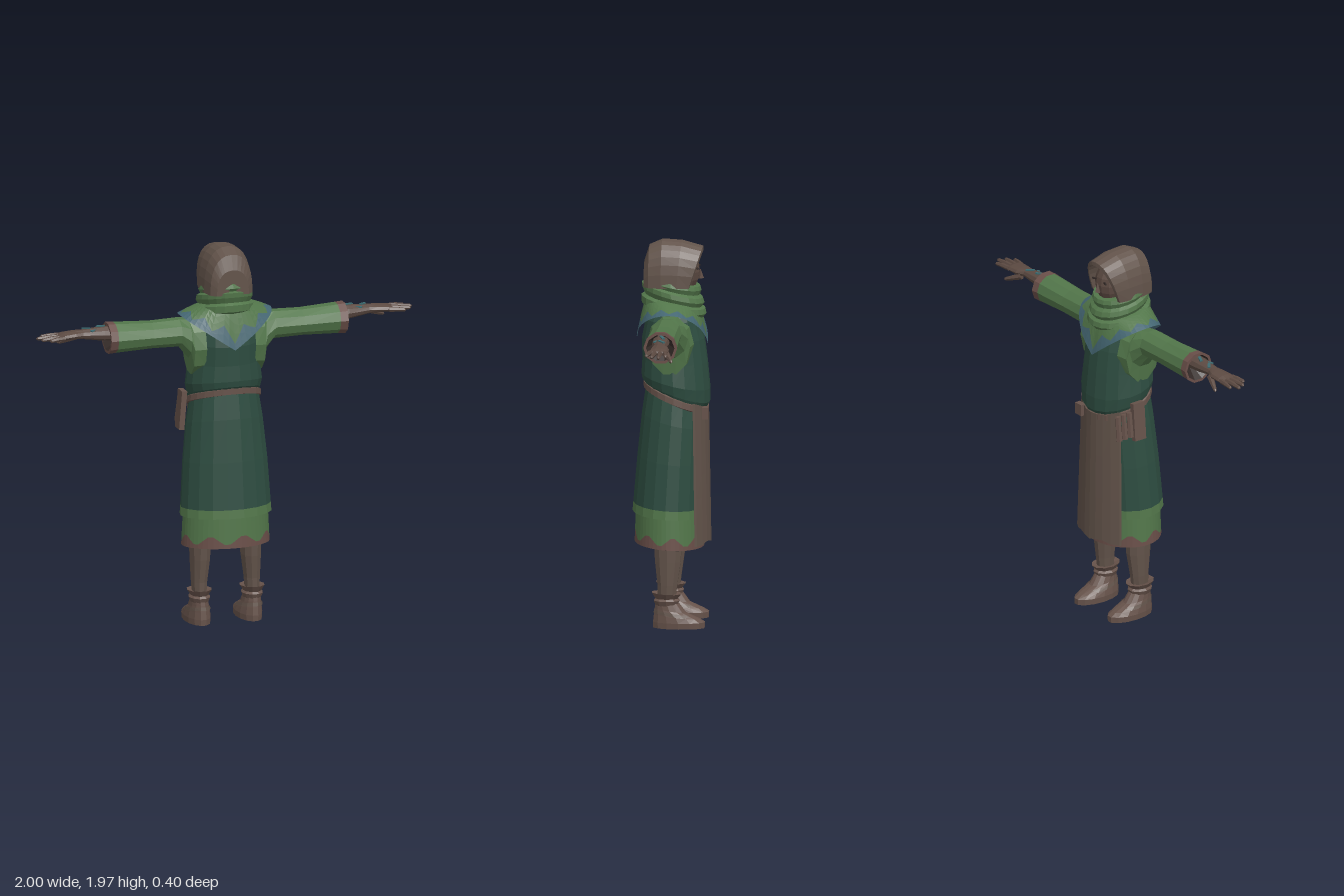
import * as THREE from 'three';

const mat = (name, color) => {
  const m = new THREE.MeshStandardMaterial({ color, side: THREE.DoubleSide });
  m.name = name;
  return m;
};

export function createModel() {
  const darkGreen = mat('dark green cloth', 0x2d4c40);
  const green = mat('green cloth', 0x52764a);
  const blue = mat('blue edging', 0x446672);
  const brown = mat('brown cloth', 0x62534a);
  const leather = mat('leather', 0x66524a);
  const trim = mat('red brown trim', 0x6a4f49);
  const skin = mat('skin', 0x5c4a42);
  const teal = mat('teal paint', 0x3c6a70);
  const dark = mat('dark line', 0x332a27);

  const model = new THREE.Group();
  const add = (name, geo, material, parent = model) => {
    const g = geo.index ? geo.toNonIndexed() : geo;
    g.computeVertexNormals(); // faceted
    const m = new THREE.Mesh(g, material);
    m.name = name;
    parent.add(m);
    return m;
  };

  // Grid surface from f(u, v) -> [x, y, z]
  const surface = (nu, nv, f, flip = false) => {
    const pos = [], idx = [];
    for (let j = 0; j <= nv; j++)
      for (let i = 0; i <= nu; i++) pos.push(...f(i / nu, j / nv));
    for (let j = 0; j < nv; j++)
      for (let i = 0; i < nu; i++) {
        const a = j * (nu + 1) + i, b = a + 1, c = a + nu + 1, d = c + 1;
        if (flip) idx.push(a, b, c, b, d, c);
        else idx.push(a, c, b, b, c, d);
      }
    const g = new THREE.BufferGeometry();
    g.setAttribute('position', new THREE.Float32BufferAttribute(pos, 3));
    g.setIndex(idx);
    return g;
  };

  // Elliptical rings stacked upwards: [y, rx, rz, cz, tilt, cx]
  const stack = (s, sides = 18) => surface(sides, s.length - 1, (u, v) => {
    const [y, rx, rz, cz = 0, tilt = 0, cx = 0] = s[Math.round(v * (s.length - 1))];
    const a = u * Math.PI * 2;
    return [cx + rx * Math.cos(a), y + tilt * Math.sin(a), cz + rz * Math.sin(a)];
  });
  // Elliptical rings along x: [x, ry, rz, cy, cz]
  const limb = (s, sides = 10) => surface(sides, s.length - 1, (u, v) => {
    const [x, ry, rz, cy = 0, cz = 0] = s[Math.round(v * (s.length - 1))];
    const a = u * Math.PI * 2 + Math.PI / sides;
    return [x, cy + ry * Math.cos(a), cz + rz * Math.sin(a)];
  }, true);
  // One surface split along a border into two colours
  const split = (name, f, border, nu, nv, upper, lower) => {
    add(name, surface(nu, nv, (u, v) => f(u, v * border(u)), true), upper);
    add(name + 'Edge', surface(nu, 2, (u, v) => f(u, border(u) + v * (1 - border(u))), true), lower);
  };

  // Robe: underskirt with wavy trim, overskirt, torso
  split('underskirt', (u, t) => {
    const a = u * Math.PI * 2, r = 0.95 + 0.05 * t;
    return [0.228 * r * Math.cos(a), 0.64 - 0.228 * t + 0.012 * Math.sin(a), 0.015 + 0.176 * r * Math.sin(a)];
  }, u => 0.82 + 0.1 * Math.sin(u * Math.PI * 16), 48, 2, green, trim);
  add('underskirtLining', stack([[0.41, 0.222, 0.17, 0.015, 0.012], [0.5, 0.05, 0.05, 0.015]]), dark);
  add('skirtHem', stack([[0.58, 0.222, 0.168, 0.018, 0.012], [0.57, 0.238, 0.184, 0.018, 0.012],
    [0.615, 0.235, 0.181, 0.017, 0.012]]), green);
  add('skirt', stack([[0.615, 0.235, 0.181, 0.017, 0.012], [0.85, 0.22, 0.172, 0.005, 0.02],
    [1.05, 0.2, 0.162, -0.008, 0.04], [1.19, 0.178, 0.145, -0.015, 0.06]]), darkGreen);
  add('torso', stack([[1.16, 0.17, 0.145, -0.02, 0.065], [1.2, 0.188, 0.172, -0.02, 0.06],
    [1.25, 0.198, 0.175, -0.018, 0.04], [1.36, 0.185, 0.166, -0.014, 0.01], [1.47, 0.18, 0.16, -0.005],
    [1.57, 0.17, 0.135], [1.65, 0.1, 0.1]]), darkGreen);

  // Belt, knot and apron
  add('belt', stack([[1.15, 0.18, 0.15, -0.02, 0.065], [1.155, 0.194, 0.166, -0.02, 0.065],
    [1.185, 0.192, 0.166, -0.02, 0.065], [1.192, 0.175, 0.15, -0.02, 0.065]], 24), leather);
  const knot = add('beltKnot', new THREE.BoxGeometry(0.05, 0.06, 0.03), leather);
  knot.position.set(0.1, 1.1, -0.175);
  const apron = new THREE.BoxGeometry(2, 1, 0.012, 8, 6, 1);
  const ap = apron.attributes.position;
  for (let i = 0; i < ap.count; i++) {
    const s = ap.getX(i), t = ap.getY(i) + 0.5;
    ap.setXYZ(i, s * (0.175 - 0.02 * t), 0.43 + t * 0.69 + 0.035 * s * s * t - 0.008 * Math.cos(s * 7) * (1 - t),
      ap.getZ(i) - 0.192 + 0.012 * t + 0.06 * s * s);
  }
  add('apron', apron, brown);

  // Flat pouch and small tools on the belt
  const pouch = add('pouch', new THREE.BoxGeometry(0.028, 0.2, 0.07), leather);
  pouch.position.set(-0.214, 1.11, -0.05);
  pouch.rotation.z = -0.08;
  for (let i = 0; i < 3; i++) {
    const tool = add('beltTool', new THREE.CylinderGeometry(0.014, 0.017, 0.13, 6), leather);
    tool.position.set(-0.21 + i * 0.018, 1.1 - i * 0.012, -0.1 - i * 0.022);
    tool.rotation.z = -0.1;
  }

  // Shoulder cape, green with a jagged blue edge
  const cape = (u, t) => {
    const a = u * Math.PI * 2, c = Math.cos(a), s = Math.sin(a), k = Math.pow(t, 0.75);
    const end = (s > 0 ? 1.46 : 1.435) + (s > 0 ? 0.165 : 0.19) * Math.abs(c);
    const top = 1.675 + 0.025 * s;
    return [c * (0.115 + 0.13 * k), top + (end - top) * t, s * (0.125 + 0.055 * k)];
  };
  const zig = u => {
    const w = (u * 12) % 1;
    return 0.56 + 0.3 * Math.abs(w * 2 - 1);
  };
  split('shoulderCape', cape, zig, 48, 4, green, blue);

  // Wrapped scarf
  add('scarf', stack([[1.6, 0.13, 0.14, -0.01, 0.03], [1.625, 0.155, 0.165, -0.008, 0.03],
    [1.655, 0.15, 0.163, -0.005, 0.035], [1.665, 0.13, 0.145, -0.005, 0.035], [1.69, 0.143, 0.158, -0.005, 0.04],
    [1.715, 0.14, 0.155, 0, 0.04], [1.725, 0.122, 0.138, 0, 0.035], [1.745, 0.132, 0.148, 0, 0.03],
    [1.765, 0.126, 0.142, 0, 0.03], [1.775, 0.09, 0.1, 0, 0.03]], 20), green);

  // Hood: arches from the back to the rim, then folded inside
  const arches = [[0.14, 0.02, 1.8], [0.14, 0.085, 1.87], [0.115, 0.112, 1.945], [0.05, 0.125, 1.974],
    [-0.05, 0.127, 1.968], [-0.155, 0.115, 1.94], [-0.157, 0.1, 1.92], [-0.08, 0.1, 1.925]];
  add('hood', surface(14, arches.length - 1, (u, v) => {
    const [z, w, top] = arches[Math.round(v * (arches.length - 1))];
    const a = u * Math.PI, h = Math.pow(Math.sin(a), 0.8);
    const low = 1.74, c = Math.cos(a);
    const back = z < 0 ? 0.065 * (1 - h) * Math.min(1, -z / 0.15) : 0;
    return [Math.sign(c) * w * Math.pow(Math.abs(c), 0.85), low + (top - low) * h, z + back];
  }), brown);

  // Face under the hood
  const head = add('head', new THREE.SphereGeometry(1, 14, 10).scale(0.092, 0.125, 0.115), skin);
  head.position.set(0, 1.81, -0.025);
  const nose = add('nose', new THREE.ConeGeometry(0.018, 0.05, 4), skin);
  nose.position.set(0, 1.8, -0.142);
  for (const s of [-1, 1]) {
    const eye = add('eye', new THREE.BoxGeometry(0.04, 0.008, 0.008), dark);
    eye.position.set(s * 0.036, 1.832, -0.127);
    eye.rotation.y = s * 0.35;
  }

  // Limbs, built once and mirrored
  for (const side of [1, -1]) {
    const limbs = new THREE.Group();
    limbs.name = side > 0 ? 'leftLimbs' : 'rightLimbs';
    limbs.scale.x = side;
    model.add(limbs);
    const part = (name, geo, material) => add(name, geo, material, limbs);

    // Sleeve and cuff
    part('sleeve', limb([[0.13, 0.15, 0.12, 1.46, 0], [0.188, 0.15, 0.105, 1.455, 0], [0.2, 0.105, 0.095, 1.5, 0],
      [0.25, 0.074, 0.078, 1.535, 0.01], [0.4, 0.07, 0.078, 1.535, 0.012], [0.59, 0.079, 0.083, 1.537, 0.012]]), green);
    part('cuff', limb([[0.59, 0.079, 0.083, 1.537, 0.012], [0.63, 0.082, 0.086, 1.537, 0.012],
      [0.63, 0.068, 0.072, 1.537, 0.012]]), trim);
    part('sleeveLining', limb([[0.55, 0.02, 0.02, 1.555, 0.012], [0.63, 0.068, 0.072, 1.537, 0.012]]), dark);

    // Forearm, palm, fingers and thumb
    part('forearm', limb([[0.5, 0.04, 0.046, 1.56, 0.012], [0.65, 0.037, 0.043, 1.562, 0.01],
      [0.76, 0.024, 0.032, 1.566, 0.005], [0.8, 0.022, 0.046, 1.566, 0], [0.86, 0.019, 0.05, 1.564, 0.003],
      [0.885, 0.012, 0.045, 1.562, 0.005], [0.89, 0, 0, 1.562, 0.005]]), skin);
    [0.1, 0.125, 0.115, 0.085].forEach((len, i) => {
      const finger = part('finger', limb([[0, 0.013, 0.013], [len * 0.5, 0.012, 0.012],
        [len * 0.92, 0.009, 0.009, -0.003], [len, 0, 0, -0.004]], 6), skin);
      finger.position.set(0.875 - 0.006 * Math.abs(i - 1), 1.562, -0.032 + i * 0.025);
      finger.rotation.y = 0.1 - i * 0.1;
    });
    const thumb = part('thumb', limb([[0, 0.017, 0.017], [0.05, 0.014, 0.014], [0.1, 0.009, 0.009], [0.112, 0, 0]], 6), skin);
    thumb.position.set(0.775, 1.55, -0.025);
    thumb.rotation.set(0, 0.4, -0.36);

    // Painted marks on the forearm
    [[0.66, 0.0, 1.599, 0.4], [0.7, 0.025, 1.587, -0.5], [0.735, -0.002, 1.593, 0.7]].forEach(([x, z, y, r]) => {
      const mark = part('forearmMark', new THREE.BoxGeometry(0.045, 0.006, 0.014), teal);
      mark.position.set(x, y, z);
      mark.rotation.set(0, r, -0.1);
    });

    // Leg, ankle wrap and shoe
    part('leg', stack([[0.14, 0.036, 0.046, 0.018, 0, 0.14], [0.22, 0.042, 0.052, 0.014, 0, 0.14],
      [0.34, 0.052, 0.068, 0.012, 0, 0.135], [0.48, 0.056, 0.075, 0.012, 0, 0.135]], 10), brown);
    part('ankleCuff', stack([[0.115, 0.046, 0.058, 0.018, 0, 0.14], [0.14, 0.056, 0.068, 0.018, 0, 0.14],
      [0.15, 0.046, 0.058, 0.018, 0, 0.14], [0.178, 0.064, 0.078, 0.018, 0.004, 0.14],
      [0.172, 0.038, 0.05, 0.018, 0, 0.14]], 10), leather);
    part('shoe', stack([[0, 0, 0, -0.04, 0, 0.137], [0, 0.064, 0.133, -0.044, 0, 0.137],
      [0.03, 0.066, 0.134, -0.044, 0, 0.137], [0.058, 0.06, 0.118, -0.033, 0.012, 0.138],
      [0.09, 0.05, 0.08, 0, 0.012, 0.139], [0.135, 0.043, 0.056, 0.018, 0, 0.14]], 14), leather);
    part('shoeStrap', stack([[0.062, 0.063, 0.112, -0.025, 0.016, 0.138], [0.08, 0.058, 0.096, -0.013, 0.016, 0.139]], 14), brown);
  }
  return model;
}
